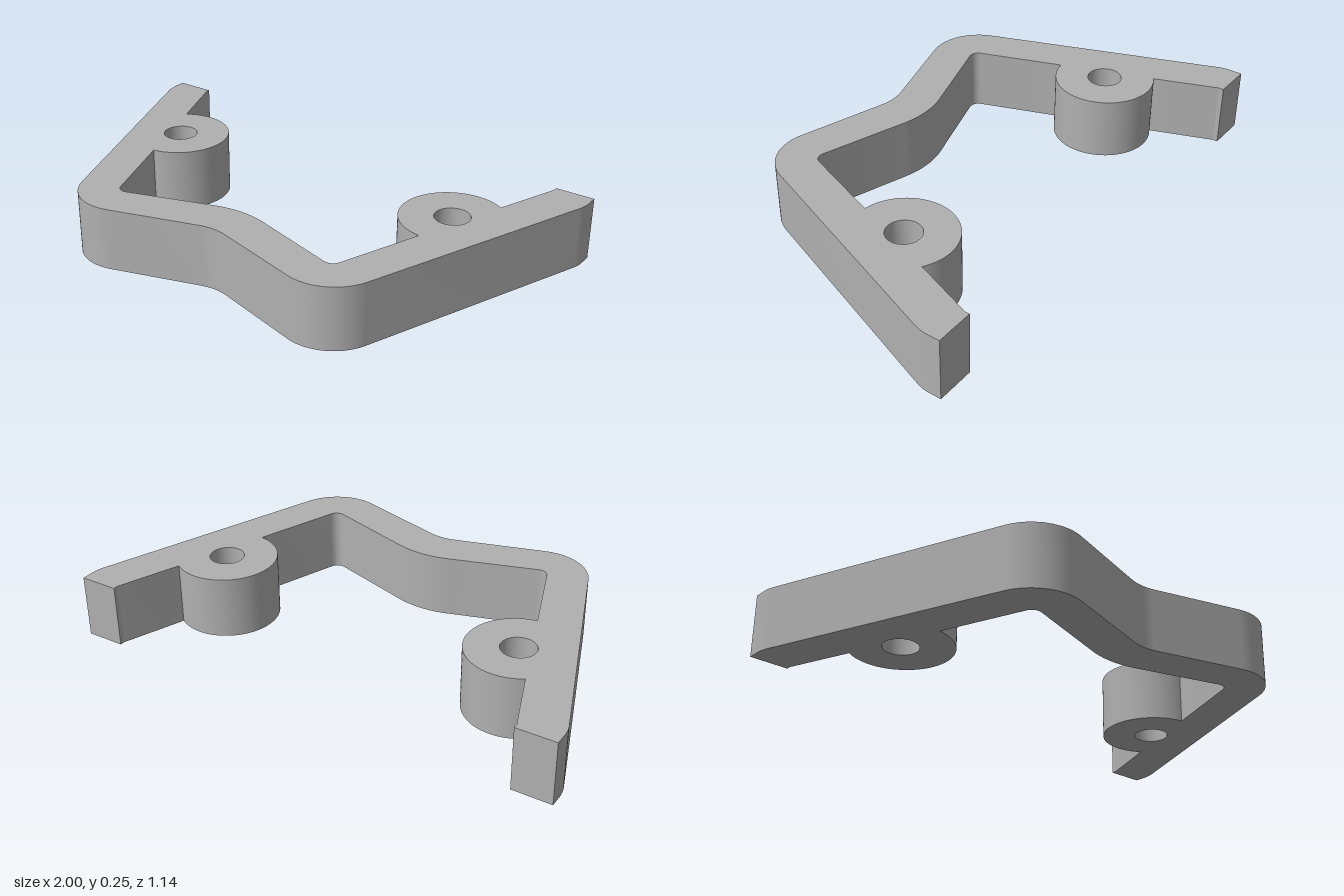
import * as THREE from 'three';
import { toCreasedNormals } from 'three/addons/utils/BufferGeometryUtils.js';

const HEIGHT = 0.25;

// Points on an arc in the plan (x, z), angles in degrees
function arc(cx, cz, r, from, to, steps) {
  return Array.from({ length: steps + 1 }, (_, i) => {
    const a = THREE.MathUtils.degToRad(from + ((to - from) * i) / steps);
    return [cx + r * Math.cos(a), cz + r * Math.sin(a)];
  });
}

export function createModel() {
  const group = new THREE.Group();
  group.name = 'bracket';
  const grey = new THREE.MeshStandardMaterial({ color: 0xb0b0b0 });
  grey.name = 'grey';

  const boss = { x: 0.643, z: -0.135, r: 0.199, hole: 0.068 };

  // Half of the plan outline, from the outer centre around to the inner centre
  const half = [
    ...arc(0, 0.655, 0.205, -90, -73, 6), // outer centre bend
    ...arc(0.465, 0.373, 0.197, 107, 20.6, 20), // outer corner
    ...arc(0.85, -0.52, 0.15, 20.6, 0, 5), // rounded arm tip
    [1, -0.57],
    [0.845, -0.57],
    [0.845, -0.55],
    [0.838, -0.533],
    ...arc(boss.x, boss.z, boss.r, -57, -263, 48), // screw boss
    ...arc(0.465, 0.375, 0.037, 20.6, 107, 10), // inner corner
    ...arc(0, 0.655, 0.37, -73, -90, 8), // inner centre bend
  ];
  const mirrored = half.slice(1, -1).reverse().map(([x, z]) => [-x, z]);
  const outline = [...half, ...mirrored].map(([x, z]) => new THREE.Vector2(x, -z));

  // Body with a through hole in each boss
  const shape = new THREE.Shape(outline);
  for (const side of [1, -1]) {
    const hole = new THREE.Path();
    hole.absarc(side * boss.x, -boss.z, boss.hole, 0, Math.PI * 2, true);
    shape.holes.push(hole);
  }
  const extruded = new THREE.ExtrudeGeometry(shape, {
    depth: HEIGHT, bevelEnabled: false, curveSegments: 20,
  });
  extruded.rotateX(-Math.PI / 2);

  const body = new THREE.Mesh(toCreasedNormals(extruded, 0.36), grey);
  body.name = 'bracketBody';
  group.add(body);
  return group;
}
